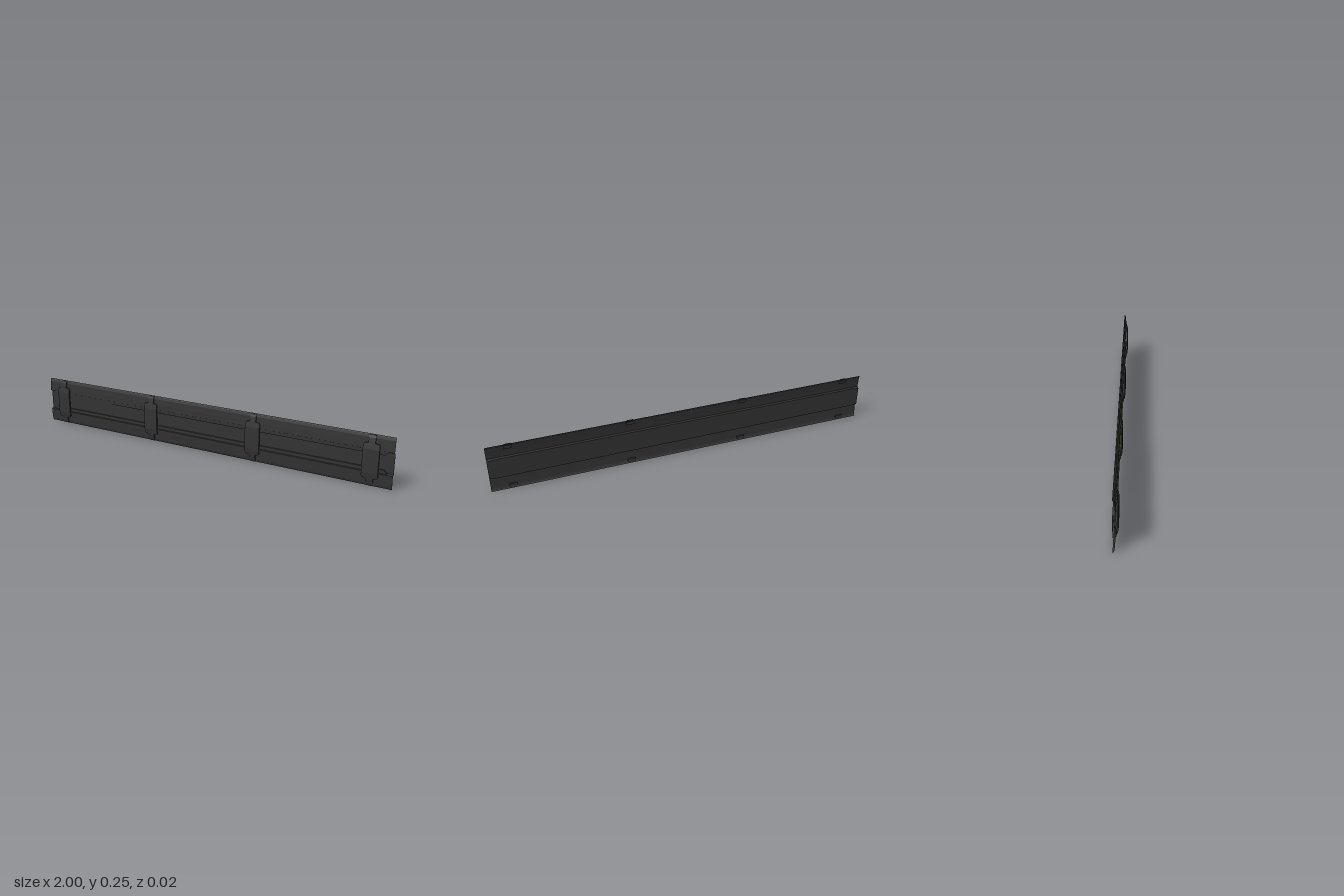
import * as THREE from 'three';

const MID = 0.125; // mid height, the section is symmetric about it

// Plate lofted upward through sections [y, front z, half width], with a thickness in z
function plate(sections, thickness) {
  const pos = [];
  const ring = ([y, z, w]) => [
    [-w, y, z], [w, y, z], [w, y, z - thickness], [-w, y, z - thickness],
  ];
  const quad = (a, b, c, d) => pos.push(...a, ...b, ...c, ...a, ...c, ...d);
  const rings = sections.map(ring);
  for (let i = 0; i < rings.length - 1; i++) {
    for (let k = 0; k < 4; k++) {
      const n = (k + 1) % 4;
      quad(rings[i][k], rings[i][n], rings[i + 1][n], rings[i + 1][k]);
    }
  }
  const bottom = rings[0], top = rings[rings.length - 1];
  quad(bottom[3], bottom[2], bottom[1], bottom[0]);
  quad(top[0], top[1], top[2], top[3]);
  const geo = new THREE.BufferGeometry();
  geo.setAttribute('position', new THREE.Float32BufferAttribute(pos, 3));
  geo.computeVertexNormals();
  return geo;
}

// Completes an upper half (listed from the middle up) with its mirrored lower half
function mirrored(upper) {
  const lower = upper.map(([y, z, w]) => [2 * MID - y, z, w]).reverse();
  return [...lower, ...upper];
}

export function createModel() {
  const group = new THREE.Group();
  const dark = new THREE.MeshStandardMaterial({ color: 0x333333, side: THREE.DoubleSide });
  const add = (name, geo, x = 0, y = 0, z = 0) => {
    const mesh = new THREE.Mesh(geo, dark);
    mesh.name = name;
    mesh.position.set(x, y, z);
    group.add(mesh);
    return mesh;
  };

  // Folded sheet: flat web at the back with a hollow flange along each edge
  add('channelSheet', plate(mirrored([
    [0.175, -0.0107, 1], [0.18, 0.001, 1], [0.205, -0.0005, 1],
    [0.235, -0.003, 1], [0.246, -0.006, 1], [0.25, -0.0107, 1],
  ]), 0.0008));

  // Low lips beside the flanges, with slanted ends
  const lip = [[0.16, -0.004, 0.955], [0.178, -0.004, 0.975]];
  add('upperLip', plate(lip, 0.0075));
  add('lowerLip', plate(lip.map(([y, z, w]) => [2 * MID - y, z, w]).reverse(), 0.0075));

  // Clips: bowed strap across the channel, narrowing to a neck at each flange
  const strap = plate(mirrored([
    [0.182, 0.0115, 0.039], [0.2, 0.0085, 0.039], [0.208, 0.007, 0.034],
    [0.211, 0.0065, 0.016], [0.235, 0.002, 0.016], [0.248, -0.003, 0.016],
  ]), 0.007);
  const lug = new THREE.BoxGeometry(0.04, 0.016, 0.007);
  for (const x of [-0.895, -0.3, 0.3, 0.895]) {
    add('clipStrap', strap, x);
    // Lugs hooked inside the flanges
    for (const side of [-1, 1]) add('clipLug', lug, x, MID + side * 0.108, -0.008);
  }
  return group;
}
